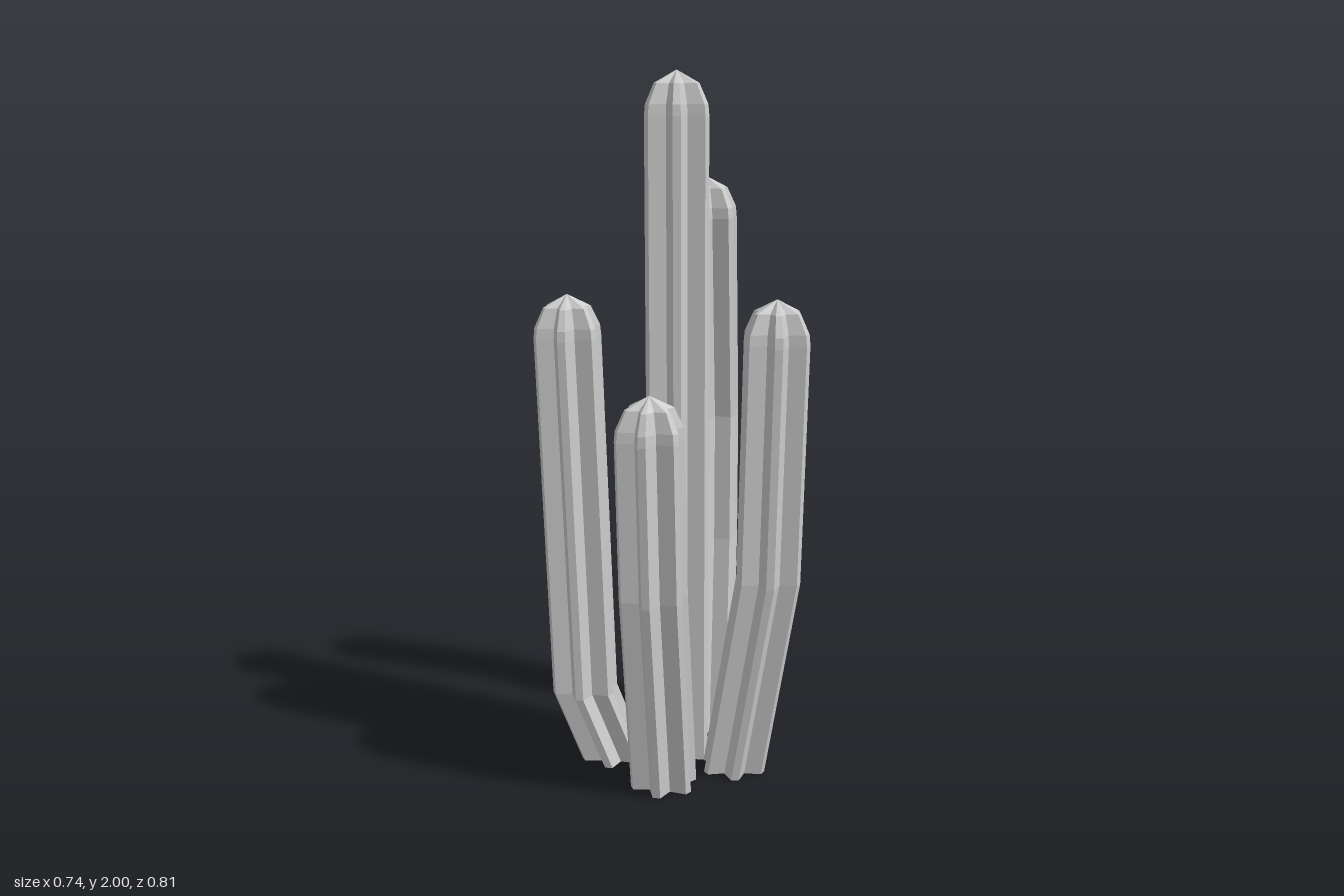
import * as THREE from 'three';

const RIBS = 6, TIP = 0.096, VALLEY = 0.058, HALF_TIP = 0.011;

// Star cross-section: each rib has a narrow flat tip with a valley after it
function starSection(turn) {
  const pts = [];
  for (let i = 0; i < RIBS; i++) {
    const a = turn + (i / RIBS) * Math.PI * 2;
    const d = HALF_TIP / TIP;
    const v = a + Math.PI / RIBS;
    pts.push([Math.cos(a - d) * TIP, Math.sin(a - d) * TIP]);
    pts.push([Math.cos(a + d) * TIP, Math.sin(a + d) * TIP]);
    pts.push([Math.cos(v) * VALLEY, Math.sin(v) * VALLEY]);
  }
  return pts;
}

// Rounded end: [height above the last path point, scale of the section]
const DOME = [[0.03, 0.97], [0.085, 0.7], [0.12, 0]];

// Stem through the path points [x, y, z], closed by a ribbed dome
function stemGeometry(path, turnDegrees) {
  const section = starSection(THREE.MathUtils.degToRad(turnDegrees));
  const n = section.length;
  const [ex, ey, ez] = path[path.length - 1];
  const rings = path.map((p) => [...p, 1]);
  for (const [dy, s] of DOME) rings.push([ex, ey + dy, ez, s]);

  const positions = [], index = [];
  rings.forEach(([x, y, z, s], r) => {
    for (const [u, v] of section) positions.push(x + u * s, y, z + v * s);
    if (r === rings.length - 1) return;
    for (let j = 0; j < n; j++) {
      const a = r * n + j, b = r * n + ((j + 1) % n);
      index.push(a, a + n, b);
      if (r < rings.length - 2) index.push(b, a + n, b + n);
    }
  });
  const indexed = new THREE.BufferGeometry();
  indexed.setAttribute('position', new THREE.Float32BufferAttribute(positions, 3));
  indexed.setIndex(index);
  const geometry = indexed.toNonIndexed();
  geometry.computeVertexNormals();
  return geometry;
}

const STEMS = [
  { name: 'centreStem', turn: 0, path: [[-0.04, 0, 0], [-0.04, 1.88, 0]] },
  { name: 'leftStem', turn: 0, path: [[0.15, 0, 0], [0.255, 0.6, 0], [0.272, 1.28, 0]] },
  { name: 'frontStem', turn: 72, path: [[0.025, 0, 0.195], [0.05, 0.6, 0.288], [0.053, 1.05, 0.308]] },
  { name: 'rightStem', turn: 7, path: [[-0.2, 0, 0.107], [-0.252, 0.23, 0.177], [-0.275, 1.28, 0.2]] },
  {
    name: 'backStem', turn: 70,
    path: [[-0.066, 0, -0.203], [-0.1, 0.6, -0.29], [-0.11, 0.98, -0.31], [-0.09, 1.58, -0.252]],
  },
];

export function createModel() {
  const group = new THREE.Group();
  group.name = 'cactus';
  // Stems are open underneath, so the inner walls show too
  const material = new THREE.MeshStandardMaterial({
    color: 0xcccccc, flatShading: true, side: THREE.DoubleSide,
  });
  for (const { name, turn, path } of STEMS) {
    const mesh = new THREE.Mesh(stemGeometry(path, turn), material);
    mesh.name = name;
    group.add(mesh);
  }
  return group;
}
